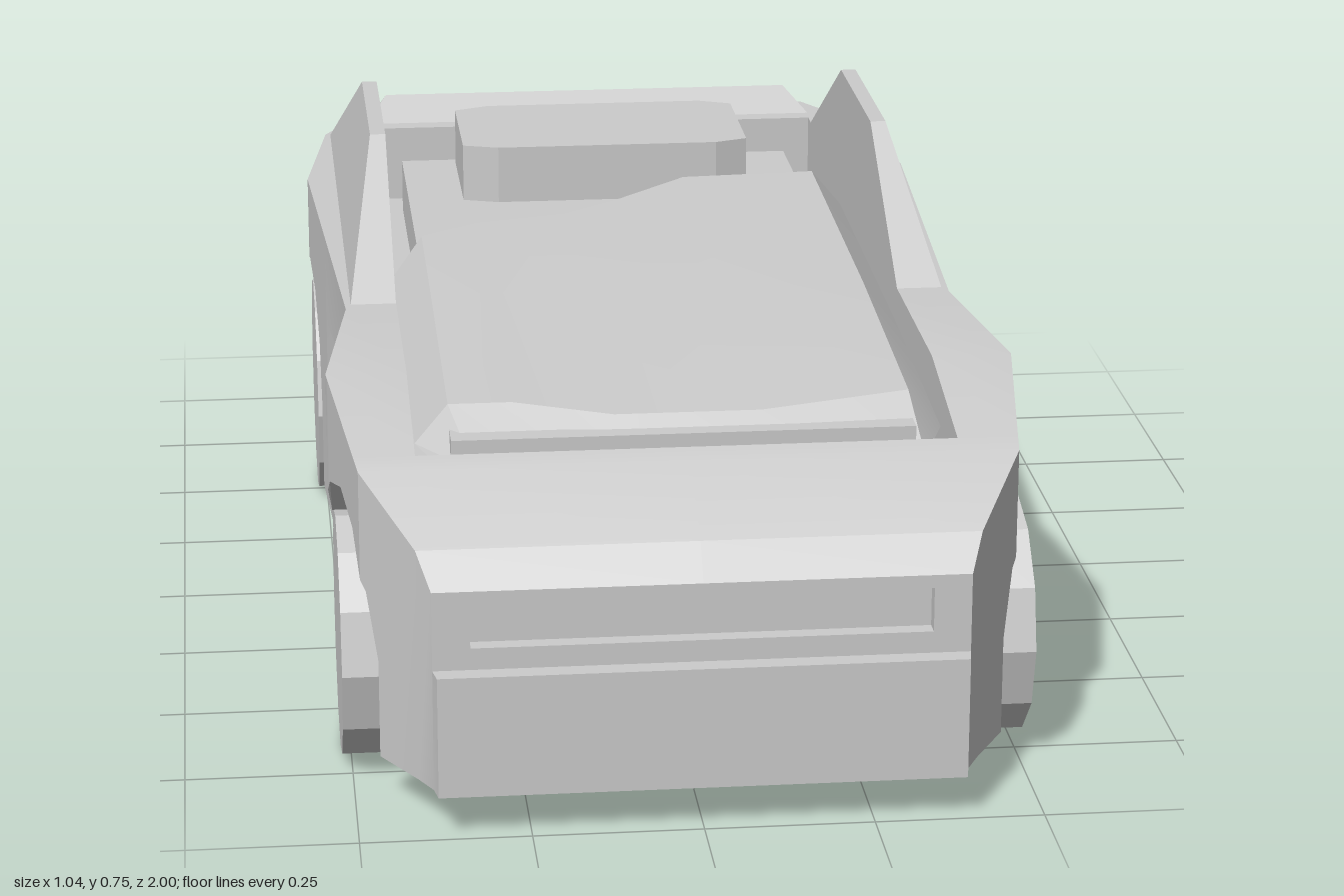
import * as THREE from 'three';
import { toCreasedNormals } from 'three/addons/utils/BufferGeometryUtils.js';

const material = new THREE.MeshStandardMaterial({ color: 0xcccccc });
const shellMaterial = new THREE.MeshStandardMaterial({ color: 0xcccccc, side: THREE.DoubleSide });

// Piecewise linear lookup in [z, value] pairs, z falling
function lookup(table, z) {
  for (let i = 1; i < table.length; i++) {
    const [z0, v0] = table[i - 1], [z1, v1] = table[i];
    if (z >= z1 - 1e-6) return v0 + (v1 - v0) * (z0 - z) / (z0 - z1);
  }
  return table[table.length - 1][1];
}

// Collects quad strips between two rows of points, mirrored in x by default
function makeShell(mirror = true) {
  const pos = [];
  const quad = (p, q, r, s) => pos.push(...p, ...q, ...r, ...p, ...r, ...s);
  const flip = ([x, y, z]) => [-x, y, z];
  return {
    strip(a, b) {
      for (let i = 0; i + 1 < a.length; i++) {
        const c = [a[i], a[i + 1], b[i + 1], b[i]];
        quad(...c);
        if (mirror) quad(...c.map(flip).reverse());
      }
    },
    mesh(name, crease = 0.35) {
      const geo = new THREE.BufferGeometry();
      geo.setAttribute('position', new THREE.Float32BufferAttribute(pos, 3));
      const mesh = new THREE.Mesh(toCreasedNormals(geo, crease), shellMaterial);
      mesh.name = name;
      return mesh;
    },
  };
}

// Plan half-width and height of the top edge along the car
const PLAN = [[1, 0.385], [0.97, 0.39], [0.93, 0.41], [0.8, 0.485], [0.52, 0.522], [0.2, 0.48],
  [-0.55, 0.52], [-0.84, 0.48], [-0.985, 0.4]];
const TOP = [[0.97, 0.37], [0.93, 0.42], [0.8, 0.495], [0.52, 0.552], [-0.985, 0.552]];
const half = z => lookup(PLAN, z);
const top = z => lookup(TOP, z);
const BASE = 0.065, STEP = 0.25, ARCH_R = 0.2, POCKET = 0.42, FLOOR = 0.42;
const AXLES = [0.64, -0.535];
const RIM_F = 0.76, RIM_R = -0.87, INNER = 0.4;

// z stations from one end to the other, including the table's own breaks
function stations(z0, z1) {
  const mid = [...PLAN, ...TOP].map(p => p[0]).filter(z => z < z0 - 1e-4 && z > z1 + 1e-4);
  return [z0, ...new Set(mid), z1].sort((a, b) => b - a);
}

function body() {
  const s = makeShell();
  const onSide = (zs, yOf) => zs.map(z => [half(z), typeof yOf === 'number' ? yOf : yOf(z), z]);
  const wall = (z0, z1, lo, hi) => { const zs = stations(z0, z1); s.strip(onSide(zs, lo), onSide(zs, hi)); };
  const level = (zs, x, y) => zs.map(z => [typeof x === 'number' ? x : x(z), typeof y === 'number' ? y : y(z), z]);

  // Plain side panels
  wall(1, 0.97, BASE, STEP);
  wall(0.97, AXLES[0] + ARCH_R, BASE, top);
  wall(AXLES[0] - ARCH_R, 0.2, BASE, top);
  wall(-0.2, AXLES[1] + ARCH_R, BASE, top);
  wall(AXLES[1] - ARCH_R, -0.985, BASE, top);

  // Wheel arches with pockets
  for (const axle of AXLES) {
    const arc = [];
    for (let i = 0; i <= 6; i++) {
      const t = i * Math.PI / 6;
      arc.push([axle + ARCH_R * Math.cos(t), 0.215 + ARCH_R * Math.sin(t)]);
    }
    for (let i = 0; i < 6; i++) {
      wall(arc[i][0], arc[i + 1][0], z => lookup(arc, z), top);
    }
    const rim = [[arc[0][0], BASE], ...arc, [arc[6][0], BASE]];
    s.strip(rim.map(([z, y]) => [POCKET, y, z]), rim.map(([z, y]) => [half(z), y, z]));
    s.strip(arc.map(([z]) => [POCKET, BASE, z]), arc.map(([z, y]) => [POCKET, y, z]));
  }

  // Door scoop: deep in front, running out to the rear
  const hi = [[0.2, 0.44], [-0.2, 0.405]], lo = [[0.2, 0.215], [-0.2, 0.25]];
  wall(0.2, -0.2, BASE, z => lookup(lo, z));
  wall(0.2, -0.2, z => lookup(hi, z), top);
  const outer = t => t.map(([z, y]) => [half(z), y, z]);
  const innerHi = [[0.41, 0.41, 0.16], outer(hi)[1]], innerLo = [[0.41, 0.25, 0.16], outer(lo)[1]];
  s.strip(innerLo, innerHi);
  s.strip(innerHi, outer(hi));
  s.strip(outer(lo), innerLo);
  s.strip([innerHi[0], outer(hi)[0]], [innerLo[0], outer(lo)[0]]);

  // Bumper face and ledge, hood, side rims, rear deck
  s.strip([[0, BASE, 1], [0.385, BASE, 1]], [[0, STEP, 1], [0.385, STEP, 1]]);
  s.strip(level([1, 0.97], half, STEP), level([1, 0.97], 0, STEP));
  for (const [z0, z1, x] of [[0.97, RIM_F, 0], [RIM_F, RIM_R, INNER], [RIM_R, -0.985, 0]]) {
    const zs = stations(z0, z1);
    s.strip(level(zs, half, top), level(zs, x, top));
  }
  s.strip([[0, 0.552, -0.985], [0.4, 0.552, -0.985]], [[0, BASE, -0.985], [0.4, BASE, -0.985]]);

  // Bed well
  const zs = stations(RIM_F, RIM_R);
  s.strip(level(zs, INNER, top), level(zs, INNER, FLOOR));
  s.strip(level(zs, INNER, FLOOR), level(zs, 0, FLOOR));
  const across = (y, z) => [[0, y, z], [INNER, y, z]];
  s.strip(across(top(RIM_F), RIM_F), across(FLOOR, RIM_F));
  s.strip(across(FLOOR, RIM_R), across(0.552, RIM_R));

  // Underside, notched at the wheels
  const cuts = [1, ...AXLES.flatMap(a => [a + ARCH_R, a - ARCH_R]), -0.985];
  for (let i = 0; i < 5; i++) {
    const run = stations(cuts[i], cuts[i + 1]);
    s.strip(level(run, 0, BASE), level(run, i % 2 ? POCKET : half, BASE));
  }
  return s.mesh('body');
}

// Rectangular frame with an inset panel
function grille() {
  const g = new THREE.Group();
  g.name = 'frontGrille';
  const rect = (T, x, y0, y1) => new T([[-x, y0], [x, y0], [x, y1], [-x, y1]].map(p => new THREE.Vector2(...p)));
  const shape = rect(THREE.Shape, 0.39, STEP, 0.37);
  shape.holes.push(rect(THREE.Path, 0.335, 0.283, 0.35));
  const frame = new THREE.Mesh(new THREE.ExtrudeGeometry(shape, { depth: 0.03, bevelEnabled: false }), material);
  frame.position.z = 0.94;
  frame.name = 'grilleFrame';
  const panel = new THREE.Mesh(new THREE.BoxGeometry(0.68, 0.08, 0.01), material);
  panel.position.set(0, 0.316, 0.94);
  panel.name = 'grillePanel';
  g.add(frame, panel);
  return g;
}

function fins() {
  const s = makeShell();
  const ring = [[0.472, 0.55, 0.18], [0.425, 0.745, -0.13], [0.425, 0.745, -0.47], [0.472, 0.55, -0.84]];
  const inner = ring.map(([, y, z]) => [INNER, y, z]);
  s.strip(ring, inner);
  s.strip([ring[0], ring[3]], [ring[1], ring[2]]);
  s.strip([inner[1], inner[2]], [inner[0], inner[3]]);
  return s.mesh('sideFins', 0.1);
}

function spoiler() {
  const s = makeShell();
  const end = [[0.405, 0.55, -0.9], [0.365, 0.588, -0.97], [0.36, 0.57, -1], [0.39, 0.55, -0.985]];
  s.strip(end, end.map(([, y, z]) => [0, y, z]));
  s.strip([end[0], end[3]], [end[1], end[2]]);
  return s.mesh('rearSpoiler', 0.1);
}

// Draped cover with a folded-back diagonal edge: [x, rear z, drop at the side]
function blanket() {
  const s = makeShell(false);
  const columns = [[0.395, -0.465, 0.06], [0.345, -0.465, 0], [0.12, -0.45, 0], [0, -0.33, 0],
    [-0.1, -0.25, 0], [-0.25, -0.21, 0], [-0.345, -0.14, 0], [-0.395, -0.11, 0.06]];
  const rows = columns.map(([x, rear, drop]) => {
    const bulge = Math.abs(x) < 0.2 ? 1 : 0;
    return [
      [x * 0.9, 0.47, 0.745],
      [x, 0.54 - 0.014 * bulge - drop, 0.64 + 0.03 * bulge],
      [x, 0.565 - drop, 0.18],
      [x, 0.578 - drop, rear + 0.04],
      [x, 0.51 - drop, rear],
    ];
  });
  for (let i = 0; i + 1 < rows.length; i++) s.strip(rows[i], rows[i + 1]);
  return s.mesh('blanket', 0.45);
}

function pillow() {
  const pts = [[-0.25, 0.54], [-0.19, 0.52], [0.19, 0.52], [0.245, 0.54], [0.245, 0.775], [0.19, 0.8], [-0.19, 0.8], [-0.25, 0.775]];
  const shape = new THREE.Shape(pts.map(p => new THREE.Vector2(...p)));
  const geo = new THREE.ExtrudeGeometry(shape, { depth: 0.1, bevelEnabled: false });
  geo.rotateX(-Math.PI / 2);
  const mesh = new THREE.Mesh(geo, material);
  mesh.position.y = 0.508;
  mesh.name = 'pillow';
  return mesh;
}

export function createModel() {
  const model = new THREE.Group();
  model.name = 'carBed';
  model.add(body(), grille(), fins(), spoiler(), blanket(), pillow());

  const mattress = new THREE.Mesh(new THREE.BoxGeometry(0.69, 0.1, 1.52), material);
  mattress.position.set(0, 0.46, -0.04);
  mattress.name = 'mattress';
  model.add(mattress);

  // Twelve-sided wheels
  const wheelGeo = toCreasedNormals(new THREE.CylinderGeometry(0.185, 0.185, 0.085, 12).rotateZ(Math.PI / 2), 0.3);
  for (const z of AXLES) {
    for (const side of [1, -1]) {
      const wheel = new THREE.Mesh(wheelGeo, material);
      wheel.position.set(side * 0.4725, 0.185, z);
      wheel.name = (z > 0 ? 'front' : 'rear') + (side > 0 ? 'Left' : 'Right') + 'Wheel';
      model.add(wheel);
    }
  }
  return model;
}
